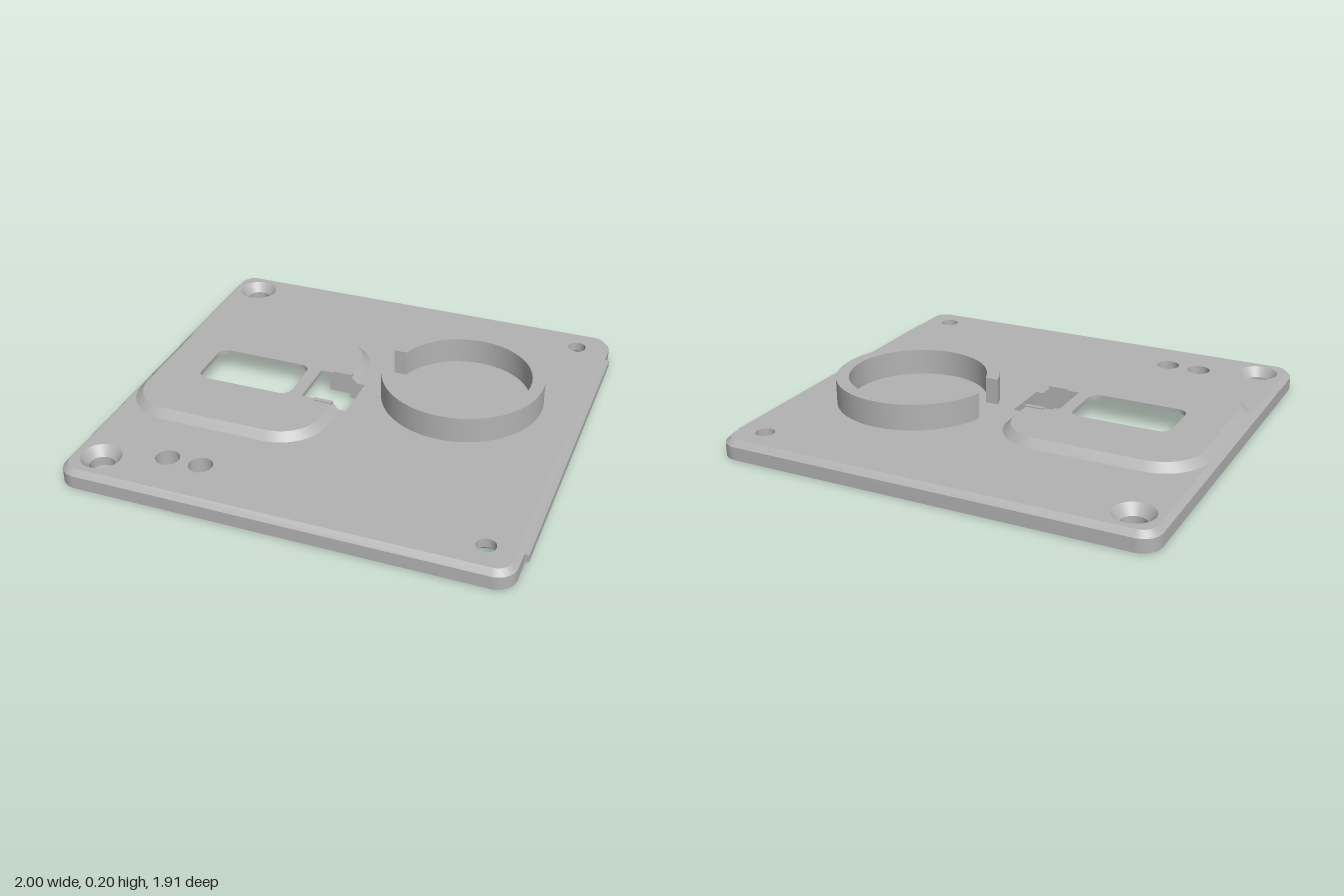
import * as THREE from 'three';
import { toCreasedNormals } from 'three/addons/utils/BufferGeometryUtils.js';

// Heights of the plate levels
const LEDGE = 0.025, EDGE = 0.06, TOP = 0.085, ROOF = 0.1, PAD = 0.12;
// Cable notch: half width and its two ends
const G = 0.118, NOTCH_IN = -0.225, NOTCH_OUT = -0.01;

const circle = (cx, cz, r, n = 40) =>
  Array.from({ length: n }, (_, i) => {
    const t = (i / n) * Math.PI * 2;
    return [cx + r * Math.cos(t), cz + r * Math.sin(t)];
  });

// Rounded rectangle in x,z; with a gap it starts and ends on the +x side, either side of the notch
function roundRect(x0, x1, z0, z1, r, gap = 0) {
  const pts = gap ? [[x1, gap]] : [];
  const corners = [[x1 - r, z1 - r], [x0 + r, z1 - r], [x0 + r, z0 + r], [x1 - r, z0 + r]];
  const n = r > 0 ? 10 : 0;
  corners.forEach(([cx, cz], k) => {
    for (let i = 0; i <= n; i++) {
      const t = (k + (n ? i / n : 0)) * Math.PI / 2;
      pts.push([cx + r * Math.cos(t), cz + r * Math.sin(t)]);
    }
  });
  if (gap) pts.push([x1, -gap]);
  return pts;
}

// Collects faces and walls into one surface
class Surface {
  constructor() { this.pos = []; }

  // Flat face: map places 2D points in space, normal sets the side that shows
  face(outer, holes, map, normal) {
    const v2 = (l) => l.map(([a, b]) => new THREE.Vector2(a, b));
    const all = [outer, ...holes].flat().map(([a, b]) => new THREE.Vector3(...map(a, b)));
    const n = new THREE.Vector3(...normal);
    for (const [i, j, k] of THREE.ShapeUtils.triangulateShape(v2(outer), holes.map(v2))) {
      const [a, b, c] = [all[i], all[j], all[k]];
      const up = b.clone().sub(a).cross(c.clone().sub(a)).dot(n) > 0;
      for (const p of up ? [a, b, c] : [a, c, b]) this.pos.push(p.x, p.y, p.z);
    }
    return this;
  }

  level(outer, holes, y, dir) {
    return this.face(outer, holes, (x, z) => [x, y, z], [0, dir, 0]);
  }

  // Wall between a lower and an upper loop of equal length
  wall(low, y0, high, y1, { inward = false, open = false } = {}) {
    const n = low.length;
    for (let i = 0; i < (open ? n - 1 : n); i++) {
      let [a, b] = [i, (i + 1) % n];
      if (inward) [a, b] = [b, a];
      const A = [low[a][0], y0, low[a][1]], B = [low[b][0], y0, low[b][1]];
      const C = [high[b][0], y1, high[b][1]], D = [high[a][0], y1, high[a][1]];
      this.pos.push(...A, ...D, ...C, ...A, ...C, ...B);
    }
    return this;
  }

  mesh(name, material) {
    const g = new THREE.BufferGeometry();
    g.setAttribute('position', new THREE.Float32BufferAttribute(this.pos, 3));
    const m = new THREE.Mesh(toCreasedNormals(g, 0.5), material);
    m.name = name;
    return m;
  }
}

export function createModel() {
  const model = new THREE.Group();
  model.name = 'mountingPlate';
  const grey = new THREE.MeshStandardMaterial({ color: 0xb3b3b3 });
  grey.name = 'grey plastic';

  // Outlines
  const plateLow = roundRect(-1, 0.98, -0.953, 0.953, 0.085);
  const plateTop = roundRect(-0.976, 0.956, -0.929, 0.929, 0.061);
  const padLow = roundRect(-0.974, -0.045, -0.464, 0.464, 0.22, G);
  const padTop = roundRect(-0.939, -0.08, -0.429, 0.429, 0.185, G);
  const recess = roundRect(-0.94, -0.08, -0.43, 0.43, 0, G);
  const pocket = roundRect(-0.84, -0.18, -0.33, 0.33, 0.08, G);
  const window_ = roundRect(-0.745, -0.285, -0.133, 0.133, 0.05);
  const closeOut = [[NOTCH_OUT, -G], [NOTCH_OUT, G]];
  const closeIn = [[NOTCH_IN, -G], [NOTCH_IN, G]];

  // Drilled holes: [x, z, radius at bottom, radius at top, straight radius]
  const holes = [];
  for (const z of [-0.81, 0.81]) {
    holes.push([-0.86, z, 0.055, 0.09, 0.055], [0.835, z, 0.09, 0.042, 0.042]);
  }
  for (const x of [-0.59, -0.435]) holes.push([x, 0.72, 0.053, 0.053, 0.053]);
  const bottomHoles = holes.map(([x, z, r]) => circle(x, z, r));
  const topHoles = holes.map(([x, z, , r]) => circle(x, z, r));

  // Base plate with chamfered upper edge
  const plate = new Surface()
    .level(plateLow, [[...recess, ...closeOut], ...bottomHoles], 0, -1)
    .wall(plateLow, 0, plateLow, EDGE)
    .wall(plateLow, EDGE, plateTop, TOP)
    .level(plateTop, [[...padLow, ...closeOut], ...topHoles], TOP, 1);
  model.add(plate.mesh('basePlate', grey));

  // Screw holes, countersunk from above or below
  const bores = new Surface();
  holes.forEach(([x, z, , , r], i) => {
    const mid = circle(x, z, r), inward = { inward: true };
    bores.wall(bottomHoles[i], 0, mid, 0.042, inward).wall(mid, 0.042, topHoles[i], TOP, inward);
  });
  model.add(bores.mesh('screwHoles', grey));

  // Raised pad with window
  const pad = new Surface()
    .wall(padLow, TOP, padTop, PAD, { open: true })
    .level([...padTop, ...closeIn], [window_], PAD, 1)
    .wall(window_, ROOF, window_, PAD, { inward: true });
  model.add(pad.mesh('raisedPad', grey));

  // Stepped recess on the underside
  const under = new Surface()
    .wall(recess, 0, recess, LEDGE, { inward: true, open: true })
    .level([...recess, ...[...pocket].reverse()], [], LEDGE, -1)
    .wall(pocket, LEDGE, pocket, ROOF, { inward: true, open: true })
    .level([...pocket, ...closeIn], [window_], ROOF, -1);
  model.add(under.mesh('undersideRecess', grey));

  // Cut walls of the cable notch
  const cut = [[NOTCH_IN, ROOF], [-0.18, ROOF], [-0.18, LEDGE], [-0.08, LEDGE], [-0.08, 0],
    [NOTCH_OUT, 0], [NOTCH_OUT, TOP], [-0.045, TOP], [-0.08, PAD], [NOTCH_IN, PAD]];
  const notch = new Surface();
  for (const s of [-1, 1]) notch.face(cut, [], (x, y) => [x, y, s * G], [0, 0, -s]);
  const endWall = (x, y0, y1, dir) =>
    notch.face([[-G, y0], [G, y0], [G, y1], [-G, y1]], [], (z, y) => [x, y, z], [dir, 0, 0]);
  endWall(NOTCH_IN, ROOF, PAD, 1);
  endWall(NOTCH_OUT, 0, TOP, -1);
  model.add(notch.mesh('cableNotch', grey));

  const box = (name, w, h, d, x, y, z) => {
    const m = new THREE.Mesh(new THREE.BoxGeometry(w, h, d), grey);
    m.name = name;
    m.position.set(x, y, z);
    model.add(m);
  };
  // Small lips beside the notch and the rail on the left edge
  for (const s of [-1, 1]) box('notchLip', 0.09, 0.012, 0.02, -0.118, 0.12, s * (G + 0.01));
  box('edgeRail', 0.03, 0.036, 1.56, 0.985, 0.042, 0);

  // Open ring with parallel gap ends
  const arc = (r) => {
    const a = Math.PI - Math.asin(0.09 / r);
    return Array.from({ length: 65 }, (_, i) => {
      const t = -a + (2 * a * i) / 64;
      return [0.44 + r * Math.cos(t), -0.185 + r * Math.sin(t)];
    });
  };
  const ringLoop = [...arc(0.37), ...arc(0.312).reverse()];
  const ring = new Surface()
    .wall(ringLoop, TOP, ringLoop, 0.205)
    .level(ringLoop, [], 0.205, 1);
  model.add(ring.mesh('openRing', grey));

  return model;
}
